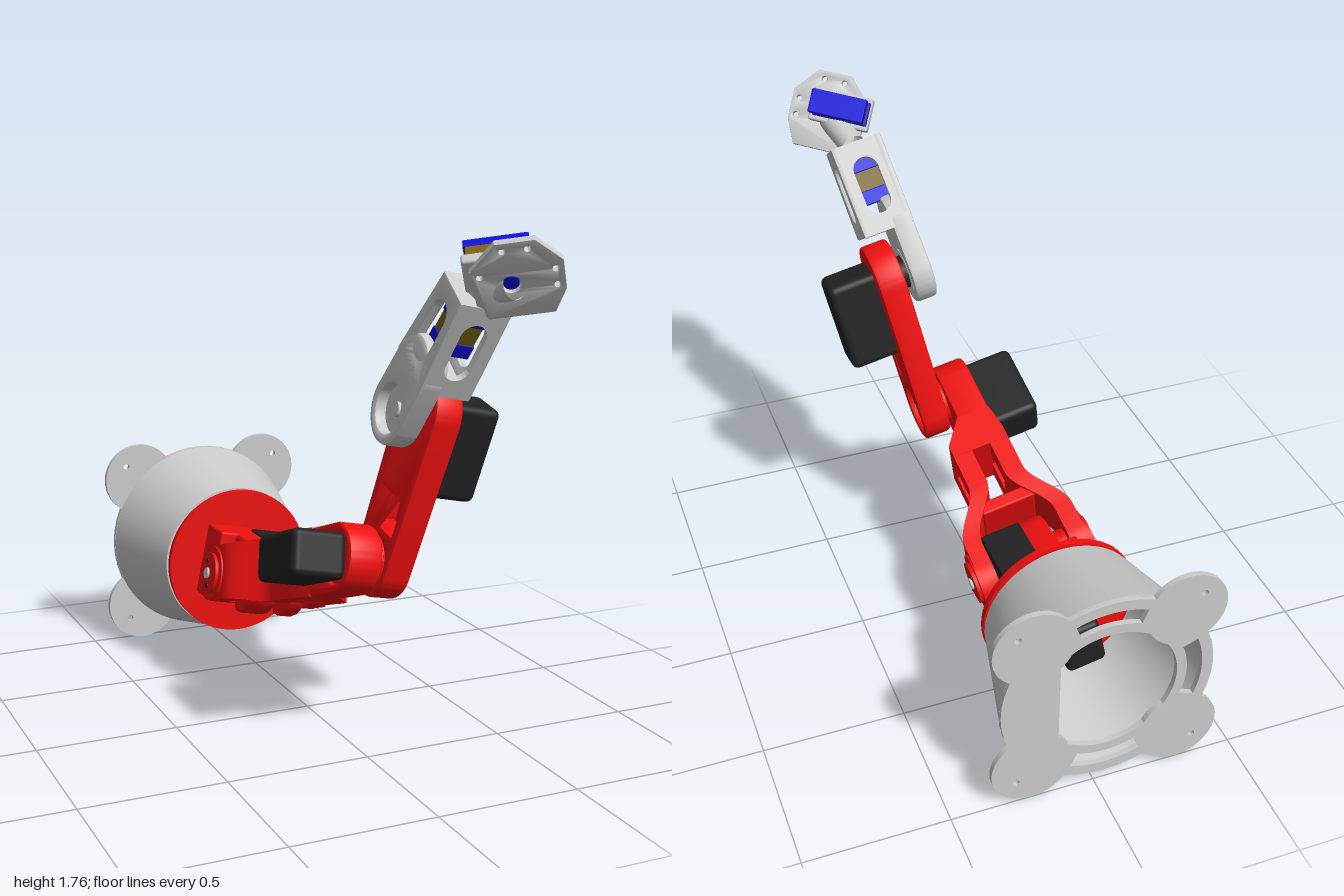
import * as THREE from 'three';
import { toCreasedNormals } from 'three/addons/utils/BufferGeometryUtils.js';
import { RoundedBoxGeometry } from 'three/addons/geometries/RoundedBoxGeometry.js';

const mat = (color) => new THREE.MeshStandardMaterial({ color, side: THREE.DoubleSide });
const PI = Math.PI;

export function createModel() {
  const grey = mat(0xcccccc), red = mat(0xee1010), black = mat(0x222222);
  const blue = mat(0x1010dd), gold = mat(0x7a6418);
  const model = new THREE.Group();

  const add = (parent, name, geo, material) => {
    const m = new THREE.Mesh(geo, material);
    m.name = name;
    parent.add(m);
    return m;
  };
  const group = (parent, name, x, y, z, rx = 0, rz = 0) => {
    const g = new THREE.Group();
    g.name = name;
    g.position.set(x, y, z);
    g.rotation.set(rx, 0, rz);
    parent.add(g);
    return g;
  };
  const extrude = (shape, depth, bevel = 0.008) => toCreasedNormals(new THREE.ExtrudeGeometry(shape, {
    depth: depth - 2 * bevel, bevelEnabled: bevel > 0, bevelSize: bevel, bevelThickness: bevel,
    bevelOffset: -bevel, bevelSegments: 2, curveSegments: 24,
  }).translate(0, 0, bevel), 0.6);
  // Side profile (z, y) given thickness from x0 to x1
  const sidePlate = (parent, name, shape, x0, x1, material, bevel) =>
    add(parent, name, extrude(shape, x1 - x0, bevel).rotateY(-PI / 2).translate(x1, 0, 0), material);
  const box = (parent, name, x0, x1, y0, y1, z0, z1, material, r = 0.008) =>
    add(parent, name, new RoundedBoxGeometry(x1 - x0, y1 - y0, z1 - z0, 3, r)
      .translate((x0 + x1) / 2, (y0 + y1) / 2, (z0 + z1) / 2), material);
  const disc = (parent, name, x0, x1, r, material, y = 0, z = 0) =>
    add(parent, name, new THREE.CylinderGeometry(r, r, x1 - x0, 32).rotateZ(PI / 2)
      .translate((x0 + x1) / 2, y, z), material);
  const circle = (x, y, r) => new THREE.Path().absarc(x, y, r, 0, 2 * PI, false);
  // Stadium outline with different end radii, along the first axis
  const stadium = (a, b, ra, rb = ra, Type = THREE.Shape) => {
    const s = new Type();
    s.absarc(b, 0, rb, -PI / 2, PI / 2, false);
    s.absarc(a, 0, ra, PI / 2, 1.5 * PI, false);
    s.closePath();
    return s;
  };
  const polygon = (pts) => new THREE.Shape(pts.map((p) => new THREE.Vector2(...p)));
  // Solid through rectangular sections [z, x0, x1, halfHeight]
  const loft = (sections) => {
    const pos = [], idx = [], n = sections.length;
    for (const [z, a, b, h] of sections) pos.push(a, -h, z, b, -h, z, b, h, z, a, h, z);
    for (let i = 0; i < n - 1; i++) for (let j = 0; j < 4; j++) {
      const a = i * 4 + j, b = i * 4 + (j + 1) % 4;
      idx.push(a, b, b + 4, a, b + 4, a + 4);
    }
    const e = (n - 1) * 4;
    idx.push(0, 2, 1, 0, 3, 2, e, e + 1, e + 2, e, e + 2, e + 3);
    const g = new THREE.BufferGeometry();
    g.setAttribute('position', new THREE.Float32BufferAttribute(pos, 3));
    g.setIndex(idx);
    return toCreasedNormals(g, 0.6);
  };
  // Recessed joint face with centre screw and two small screws
  const jointFace = (parent, x, z, r, dir) => {
    const put = (name, d, rr, m, y) => disc(parent, name, x + Math.min(0, d * dir), x + Math.max(0, d * dir), rr, m, y, z);
    put('jointFace', 0.012, r, red, 0);
    put('jointScrew', 0.02, 0.02, grey, 0);
    for (const s of [-1, 1]) put('smallScrew', 0.016, 0.009, black, s * r * 0.62);
  };

  // Base: hollow cone, back plate and mounting ears
  const base = group(model, 'base', -0.04, 0.405, 0);
  const wall = [[0.345, -0.985], [0.37, -0.985], [0.28, -0.61], [0.255, -0.61], [0.345, -0.985]];
  add(base, 'baseCone', toCreasedNormals(new THREE.LatheGeometry(
    wall.map(([r, z]) => new THREE.Vector2(r, z)), 64).rotateX(PI / 2), 0.6), grey);
  const back = new THREE.Shape().absarc(0, 0, 0.37, 0, 2 * PI, false);
  const opening = new THREE.Path();
  opening.moveTo(0, 0);
  opening.absarc(0, 0, 0.24, PI / 4, 1.75 * PI, false);
  opening.closePath();
  back.holes.push(opening);
  for (const mid of [PI / 2, PI, 1.5 * PI]) {
    const slot = new THREE.Path();
    slot.absarc(0, 0, 0.33, mid - 0.38, mid + 0.38, false);
    slot.absarc(0, 0, 0.275, mid + 0.38, mid - 0.38, true);
    slot.closePath();
    back.holes.push(slot);
  }
  add(base, 'backPlate', extrude(back, 0.02, 0).translate(0, 0, -1), grey);
  for (const sx of [-1, 1]) for (const sy of [-1, 1]) {
    const ear = new THREE.Shape().absarc(sx * 0.26, sy * 0.26, 0.14, 0, 2 * PI, false);
    ear.holes.push(circle(sx * 0.315, sy * 0.315, 0.012));
    add(base, 'mountingEar', extrude(ear, 0.02, 0).translate(0, 0, -1), grey);
  }

  // Turntable carrying the whole arm, turned about the base axis
  const arm = group(model, 'arm', -0.04, 0.405, 0, 0, -0.21);
  add(arm, 'turntable', new THREE.CylinderGeometry(0.278, 0.278, 0.024, 64).rotateX(PI / 2)
    .translate(0, 0, -0.582), red);
  box(arm, 'baseMotor', -0.07, 0.07, -0.09, 0.09, -0.8, -0.59, black, 0.02);

  // Shoulder bracket
  const cheek = new THREE.Shape();
  cheek.moveTo(-0.575, -0.135);
  cheek.absarc(-0.32, 0, 0.135, -PI / 2, PI / 2, false);
  cheek.lineTo(-0.575, 0.135);
  cheek.closePath();
  sidePlate(arm, 'shoulderCheek', cheek, -0.09, 0.02, red, 0.015);
  sidePlate(arm, 'shoulderCheek', cheek, 0.065, 0.135, red, 0.015);
  box(arm, 'bracketBlock', -0.15, 0.135, -0.135, 0.135, -0.575, -0.43, red);
  box(arm, 'shoulderMotor', 0.0, 0.145, -0.06, 0.145, -0.51, -0.27, black);
  disc(arm, 'shoulderShaft', -0.15, 0.15, 0.06, red, 0, -0.32);

  // Upper arm: fork, two rails, then a single elbow plate
  const link1 = group(arm, 'upperArm', 0, 0, -0.32, -0.354);
  const L1 = 0.752, L2 = 0.535;
  const prong = [];
  for (let i = 0; i <= 10; i++) {
    const z = -0.1 * Math.cos(i * PI / 20);
    prong.push([z, 0.14, 0.205, Math.sqrt(Math.max(0.0001, 0.01 - z * z))]);
  }
  for (let i = 0; i <= 12; i++) {
    const z = 0.1 + i * 0.0165, t = THREE.MathUtils.smoothstep(i, 0, 12);
    prong.push([z, 0.14 - 0.105 * t, 0.205 - 0.1 * t, 0.1 + 0.015 * t]);
  }
  const rail = polygon([[0.29, -0.115], [0.48, -0.118], [0.48, 0.118], [0.29, 0.115]]);
  rail.holes.push(polygon([[0.31, -0.035], [0.44, -0.035], [0.44, 0.035], [0.31, 0.035]]));
  for (const s of [-1, 1]) {
    const sections = prong.map(([z, a, b, h]) => (s > 0 ? [z, a, b, h] : [z, -b, -a, h]));
    add(link1, 'forkProng', loft(sections), red);
    sidePlate(link1, 'forkRail', rail, s > 0 ? 0.035 : -0.105, s > 0 ? 0.105 : -0.035, red, 0);
    disc(link1, 'forkHub', s > 0 ? 0.2 : -0.212, s > 0 ? 0.212 : -0.2, 0.1, red);
    jointFace(link1, s * 0.212, 0, 0.075, s);
  }
  box(link1, 'forkWeb', -0.1, 0.1, -0.1, 0.1, 0.18, 0.23, red);
  add(link1, 'armTaper', loft([[0.43, -0.105, 0.105, 0.118], [0.48, -0.105, 0.105, 0.118],
    [0.58, -0.09, 0.03, 0.118]]), red);
  const elbow = stadium(0.56, L1, 0.118);
  elbow.holes.push(circle(L1, 0, 0.088));
  sidePlate(link1, 'elbowPlate', elbow, -0.09, 0.032, red, 0.012);
  disc(link1, 'elbowDisc', -0.07, 0.045, 0.09, red, 0, L1);
  box(link1, 'elbowMotor', -0.265, -0.07, -0.08, 0.08, 0.52, 0.81, black, 0.025);

  // Middle arm: flat link with a window and a motor pocket
  const link2 = group(link1, 'middleArm', 0, 0, L1, 0.354 - 1.38);
  const body2 = stadium(0, L2, 0.12, 0.135);
  body2.holes.push(circle(0, 0, 0.09), stadium(0.36, L2, 0.1, 0.1, THREE.Path),
    polygon([[0.125, -0.08], [0.24, -0.085], [0.24, 0.085], [0.125, 0.08]]));
  sidePlate(link2, 'middleLink', body2, 0.045, 0.145, red, 0.012);
  sidePlate(link2, 'pocketFloor', stadium(0.36, L2, 0.105), 0.05, 0.075, red, 0);
  disc(link2, 'lowerHub', 0.045, 0.115, 0.092, red);
  jointFace(link2, 0.115, 0, 0.07, 1);
  box(link2, 'wristMotor', 0.06, 0.315, -0.078, 0.078, 0.27, 0.6, black, 0.025);
  disc(link2, 'motorHorn', 0.0, 0.06, 0.06, black, 0, L2);

  // Forearm: hub plate and a tapered hollow housing with slotted walls
  const fore = group(link2, 'forearm', 0, 0, L2, 1.38 - 1.02);
  const hub = stadium(0, 0.17, 0.12, 0.115);
  hub.holes.push(circle(0, 0, 0.082));
  sidePlate(fore, 'forearmHub', hub, -0.06, 0.02, grey, 0.012);
  disc(fore, 'hubDisc', -0.02, 0.02, 0.085, grey);
  disc(fore, 'hubScrew', -0.032, 0, 0.025, grey);
  const side = polygon([[0.16, -0.115], [0.49, -0.085], [0.49, 0.085], [0.16, 0.115]]);
  side.holes.push(stadium(0.27, 0.38, 0.05, 0.05, THREE.Path));
  sidePlate(fore, 'housingSide', side, -0.06, -0.032, grey, 0.006);
  sidePlate(fore, 'housingSide', side, 0.098, 0.126, grey, 0.006);
  for (const flip of [0, PI]) {
    const half = group(fore, 'housingHalf', 0.033, 0, 0, 0, flip);
    const face = polygon([[-0.088, 0], [0.088, 0], [0.088, 0.331], [-0.088, 0.331]]);
    const slot = new THREE.Path();
    slot.absarc(0, 0.225, 0.045, 0, PI, false);
    slot.absarc(0, 0.11, 0.045, PI, 2 * PI, false);
    slot.closePath();
    face.holes.push(slot);
    const m = add(half, 'housingFace', extrude(face, 0.025, 0).rotateX(PI / 2), grey);
    m.position.set(0, 0.115, 0.16);
    m.rotation.x = 0.091;
  }
  box(fore, 'housingFloor', -0.055, 0.12, -0.11, 0.11, 0.16, 0.185, grey);
  box(fore, 'housingEnd', -0.05, 0.115, -0.08, 0.08, 0.46, 0.488, grey);
  const servo = (parent, x, y, z, sx, sy, sz) => {
    const g = group(parent, 'servo', x, y, z);
    for (const s of [-1, 1]) box(g, 'servoCase', -sx / 2, sx / 2, -sy / 2, sy / 2,
      s > 0 ? sz * 0.2 : -sz / 2, s > 0 ? sz / 2 : -sz * 0.2, blue, 0.004);
    box(g, 'servoMiddle', -sx * 0.47, sx * 0.47, -sy * 0.47, sy * 0.47, -sz * 0.25, sz * 0.25, gold, 0.004);
    return g;
  };
  servo(fore, 0.033, 0, 0.35, 0.12, 0.085, 0.17);

  // Wrist neck and tool flange, facing forward and down
  const neck = new THREE.LineCurve3(new THREE.Vector3(0.245, 1.57, 0.73), new THREE.Vector3(0.28, 1.61, 0.89));
  add(model, 'wristNeck', new THREE.TubeGeometry(neck, 1, 0.045, 24), grey);
  const aim = group(model, 'wrist', 0.285, 1.63, 0.9);
  aim.lookAt(0.285 - 0.38, 1.63 - 0.536, 0.9 + 0.746);
  const head = group(aim, 'head', 0, 0, 0, 0, 0.17);
  const plate = polygon([[-0.13, -0.1], [-0.1, -0.135], [0.1, -0.135], [0.14, -0.05], [0.14, 0.06],
    [0.065, 0.145], [-0.055, 0.145], [-0.14, 0.05]]);
  for (const [x, y] of [[0.04, 0.115], [-0.035, 0.115], [0.115, 0.03], [0.115, -0.03], [-0.11, 0.03]])
    plate.holes.push(circle(x, y, 0.01));
  plate.holes.push(circle(-0.02, -0.01, 0.03));
  add(head, 'toolFlange', extrude(plate, 0.025, 0.004).translate(0, 0, -0.0125), grey);
  add(head, 'flangeScrew', new THREE.CylinderGeometry(0.024, 0.024, 0.05, 24).rotateX(PI / 2)
    .translate(-0.02, -0.01, -0.02), blue);
  box(head, 'servoTray', -0.16, 0.06, -0.04, 0.08, -0.05, -0.01, grey);
  servo(head, -0.055, 0.02, -0.085, 0.2, 0.085, 0.11);
  return model;
}
